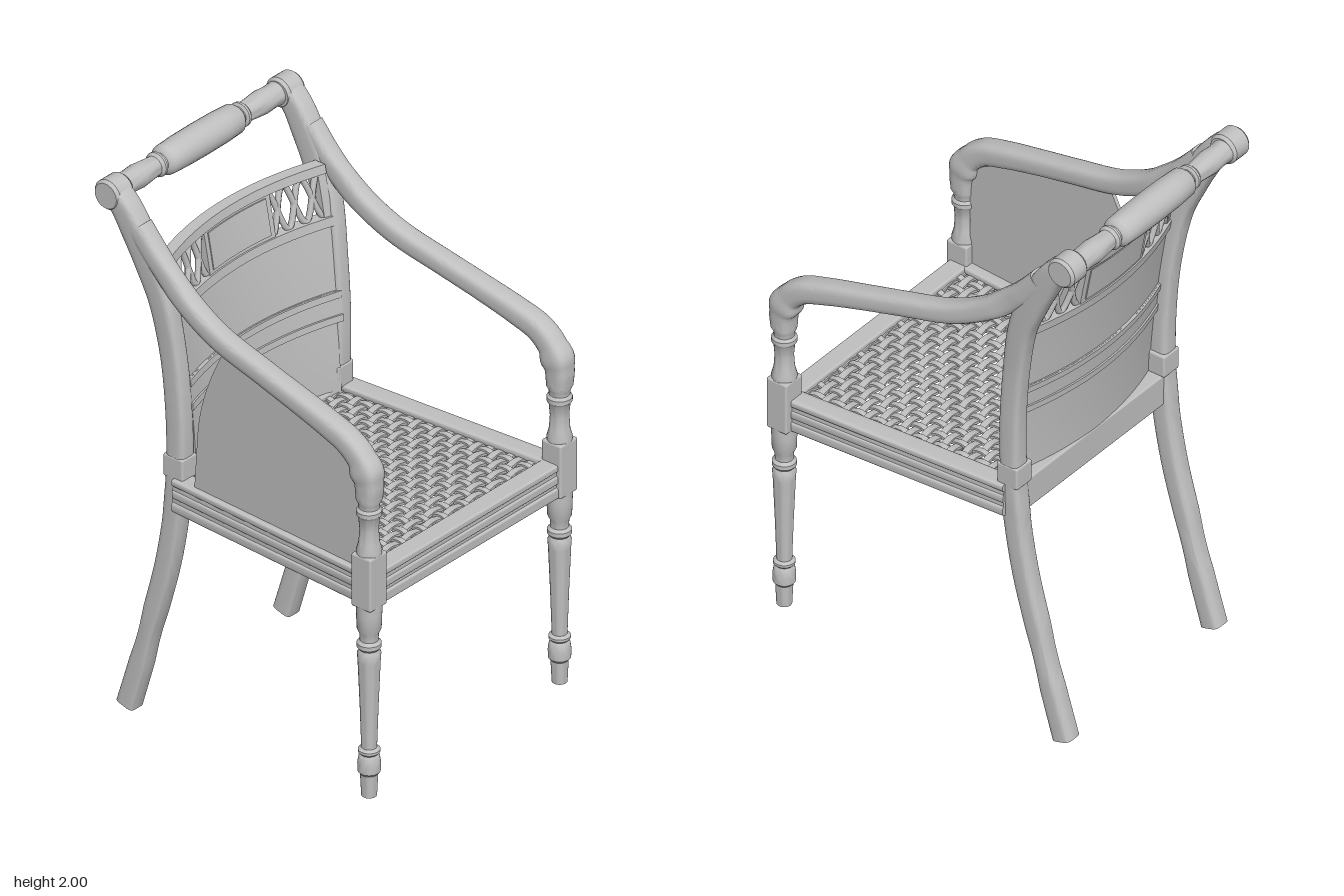
import * as THREE from 'three';
import { toCreasedNormals } from 'three/addons/utils/BufferGeometryUtils.js';
import { RoundedBoxGeometry } from 'three/addons/geometries/RoundedBoxGeometry.js';

const greyPaint = new THREE.MeshStandardMaterial({ color: 0xc0c0c0, side: THREE.DoubleSide });
greyPaint.name = 'grey paint';

function add(parent, name, geometry, x = 0, y = 0, z = 0) {
  const mesh = new THREE.Mesh(geometry, greyPaint);
  mesh.name = name;
  mesh.position.set(x, y, z);
  parent.add(mesh);
  return mesh;
}

const block = (w, h, d, r = 0.008) => new RoundedBoxGeometry(w, h, d, 2, r);

// Rounded rectangular bar along a path; each stop is [x, y, z, width, depth]
function bar(stops, steps = 48, power = 0.5) {
  const path = new THREE.CatmullRomCurve3(stops.map(s => new THREE.Vector3(s[0], s[1], s[2])));
  const size = new THREE.CatmullRomCurve3(stops.map(s => new THREE.Vector3(s[3], s[4], 0)));
  const sides = 20, pos = [], index = [];
  const side = new THREE.Vector3(1, 0, 0);
  const soft = v => Math.sign(v) * Math.abs(v) ** power;
  for (let i = 0; i <= steps; i++) {
    const t = i / steps, c = path.getPoint(t), s = size.getPoint(t);
    const n = path.getTangent(t).cross(side).normalize();
    for (let j = 0; j < sides; j++) {
      const a = (j + 0.5) / sides * Math.PI * 2;
      const p = c.clone().addScaledVector(side, soft(Math.cos(a)) * s.x / 2)
        .addScaledVector(n, soft(Math.sin(a)) * s.y / 2);
      pos.push(p.x, Math.max(0, p.y), p.z);
    }
  }
  const at = (i, j) => i * sides + j % sides;
  for (let i = 0; i < steps; i++) for (let j = 0; j < sides; j++) {
    index.push(at(i, j), at(i, j + 1), at(i + 1, j + 1), at(i, j), at(i + 1, j + 1), at(i + 1, j));
  }
  for (let j = 1; j < sides - 1; j++) {
    index.push(at(0, 0), at(0, j + 1), at(0, j), at(steps, 0), at(steps, j), at(steps, j + 1));
  }
  const g = new THREE.BufferGeometry();
  g.setAttribute('position', new THREE.Float32BufferAttribute(pos, 3));
  g.setIndex(index);
  return toCreasedNormals(g, 0.7);
}

const turned = profile => toCreasedNormals(
  new THREE.LatheGeometry(profile.map(p => new THREE.Vector2(p[0], p[1])), 24), 0.6);

// Bowed, reclining surface of the chair back
function backZ(x, y) {
  const u = Math.max(0, y - 0.95);
  return -0.328 - 0.055 * u - 0.095 * u * u + 0.06 * (x / 0.37) ** 2;
}

function bend(g) {
  const p = g.attributes.position;
  for (let i = 0; i < p.count; i++) p.setZ(i, p.getZ(i) + backZ(p.getX(i), p.getY(i)));
  g.computeVertexNormals();
  return g;
}

function bentBoard(x, y0, y1, thick) {
  const g = new THREE.BoxGeometry(2 * x, y1 - y0, thick, 24, 4, 1);
  return bend(g.translate(0, (y0 + y1) / 2, 0));
}

// Everything that repeats on both sides, built for +x
function buildSide() {
  const g = new THREE.Group();
  add(g, 'backPost', bar([
    [0.395, 0.01, -0.522, 0.07, 0.075], [0.395, 0.2, -0.465, 0.07, 0.073], [0.395, 0.4, -0.41, 0.07, 0.073],
    [0.395, 0.6, -0.357, 0.07, 0.075], [0.395, 0.8, -0.322, 0.07, 0.076], [0.396, 1.0, -0.307, 0.07, 0.076],
    [0.4, 1.2, -0.308, 0.068, 0.078], [0.406, 1.4, -0.325, 0.066, 0.08], [0.418, 1.6, -0.36, 0.07, 0.088],
    [0.424, 1.72, -0.405, 0.074, 0.1], [0.428, 1.82, -0.455, 0.077, 0.1], [0.431, 1.9, -0.503, 0.08, 0.09],
    [0.432, 1.947, -0.545, 0.082, 0.08]], 64, 0.45));
  add(g, 'armRest', bar([
    [0.48, 1.23, 0.574, 0.078, 0.078], [0.48, 1.3, 0.572, 0.084, 0.09], [0.48, 1.365, 0.545, 0.084, 0.09],
    [0.48, 1.413, 0.49, 0.083, 0.086], [0.476, 1.445, 0.4, 0.082, 0.082], [0.468, 1.485, 0.25, 0.08, 0.076],
    [0.459, 1.522, 0.1, 0.078, 0.075], [0.447, 1.575, -0.1, 0.076, 0.078], [0.436, 1.655, -0.25, 0.075, 0.08],
    [0.43, 1.755, -0.365, 0.075, 0.08], [0.43, 1.85, -0.45, 0.076, 0.08]], 64, 0.62));
  const scroll = add(g, 'postScroll', turned([[0, -0.043], [0.046, -0.043], [0.055, -0.032],
    [0.055, 0.032], [0.046, 0.043], [0, 0.043]]), 0.432, 1.942, -0.557);
  scroll.rotation.z = Math.PI / 2;
  add(g, 'postBase', block(0.082, 0.085, 0.085), 0.392, 0.99, -0.307);

  // Turned front leg, joint block and arm support
  add(g, 'frontLeg', turned([[0, 0.112], [0.026, 0.112], [0.03, 0.195], [0.038, 0.205], [0.039, 0.235],
    [0.035, 0.262], [0.03, 0.27], [0.037, 0.278], [0.037, 0.287], [0.026, 0.295], [0.031, 0.45], [0.038, 0.62],
    [0.04, 0.65], [0.033, 0.665], [0.041, 0.675], [0.041, 0.69], [0.031, 0.7], [0.032, 0.725], [0.041, 0.745],
    [0.043, 0.8], [0.044, 0.84]]), 0.48, 0, 0.573);
  add(g, 'legBlock', block(0.088, 0.2, 0.084), 0.48, 0.93, 0.573);
  add(g, 'armSupport', turned([[0.042, 1.02], [0.043, 1.04], [0.035, 1.07], [0.032, 1.12], [0.036, 1.165],
    [0.043, 1.175], [0.043, 1.19], [0.035, 1.2], [0.036, 1.215], [0.041, 1.225], [0.04, 1.25]]), 0.48, 0, 0.573);

  // Side rail: core, mouldings and the inner ledge carrying the cane
  const rail = (name, y, w, h, inset = 0) => add(g, name, bar([
    [0.465 - inset, y, 0.55, w, h], [0.41 - inset, y, -0.3, w, h]], 2, 0.35));
  rail('sideRail', 0.892, 0.06, 0.115);
  rail('railLowerMoulding', 0.85, 0.072, 0.04);
  rail('railMiddleMoulding', 0.898, 0.07, 0.034);
  rail('railTopMoulding', 0.942, 0.072, 0.026);
  rail('caneLedge', 0.878, 0.09, 0.085, 0.06);

  // Openwork of crossing strands in the upper back
  for (const s of [-1, 1]) {
    const pts = [];
    for (let i = 0; i <= 24; i++) {
      const u = i / 24, x = 0.165 + 0.205 * u, y = 1.648 + s * 0.076 * Math.cos(u * Math.PI * 3);
      pts.push(new THREE.Vector3(x, y, backZ(x, y)));
    }
    add(g, 'openworkStrand', new THREE.TubeGeometry(new THREE.CatmullRomCurve3(pts), 48, 0.011, 8));
  }
  add(g, 'backStile', bend(new THREE.BoxGeometry(0.028, 0.21, 0.026, 2, 4, 1).translate(0.374, 1.647, 0)));
  return g;
}

export function createModel() {
  const chair = new THREE.Group();
  chair.name = 'armchair';
  const left = buildSide(), right = buildSide();
  left.name = 'leftSide';
  right.name = 'rightSide';
  right.scale.x = -1;
  chair.add(left, right);

  // Turned crest rail with a thick middle grip
  const half = [[0.058, 0], [0.057, 0.1], [0.053, 0.175], [0.044, 0.187], [0.034, 0.192], [0.034, 0.2],
    [0.044, 0.206], [0.044, 0.215], [0.035, 0.225], [0.038, 0.26], [0.043, 0.31], [0.04, 0.36], [0.043, 0.41]];
  const crest = add(chair, 'crestRail', turned([...half.slice(1).reverse().map(p => [p[0], -p[1]]), ...half]),
    0, 1.942, -0.562);
  crest.rotation.z = Math.PI / 2;

  // Chair back boards and rails
  add(chair, 'backTopRail', bentBoard(0.385, 1.725, 1.757, 0.042));
  add(chair, 'backCentreTablet', bentBoard(0.165, 1.56, 1.73, 0.03));
  add(chair, 'backTabletFace', bentBoard(0.145, 1.585, 1.715, 0.038));
  add(chair, 'backUpperRail', bentBoard(0.385, 1.54, 1.573, 0.042));
  add(chair, 'backMiddlePanel', bentBoard(0.38, 1.29, 1.545, 0.02));
  add(chair, 'backMiddleRail', bentBoard(0.38, 1.2, 1.31, 0.03));
  for (const y of [1.2, 1.285]) add(chair, 'backRailBead', bentBoard(0.38, y, y + 0.024, 0.044));
  add(chair, 'backLowerPanel', bentBoard(0.365, 0.93, 1.21, 0.018));

  // Front and back seat rails
  add(chair, 'frontRail', block(0.89, 0.115, 0.056), 0, 0.892, 0.568);
  add(chair, 'frontLowerMoulding', block(0.89, 0.04, 0.07), 0, 0.85, 0.57);
  add(chair, 'frontMiddleMoulding', block(0.89, 0.032, 0.066), 0, 0.898, 0.57);
  add(chair, 'frontTopMoulding', block(0.89, 0.026, 0.07), 0, 0.942, 0.568);
  add(chair, 'frontLedge', block(0.8, 0.085, 0.09), 0, 0.878, 0.5);
  add(chair, 'backRail', block(0.75, 0.12, 0.07), 0, 0.892, -0.305);
  add(chair, 'backLedge', block(0.72, 0.085, 0.09), 0, 0.878, -0.24);

  // Woven cane seat: wavy flat strands crossing over and under
  const seat = new THREE.Group();
  seat.name = 'caneSeat';
  chair.add(seat);
  const rows = 20, cols = 17, z0 = -0.275, z1 = 0.54;
  const halfWidth = z => 0.402 + 0.062 * (z - z0);
  const dz = (z1 - z0) / rows;
  for (let r = 0; r <= rows; r++) {
    const z = z0 + r * dz, g = new THREE.BoxGeometry(2 * halfWidth(z), 0.01, 0.025, cols * 4, 1, 1);
    const p = g.attributes.position;
    for (let i = 0; i < p.count; i++) {
      const u = (p.getX(i) / halfWidth(z) + 1) / 2 * cols;
      p.setY(i, p.getY(i) + 0.004 * Math.cos(Math.PI * (u + r)));
    }
    g.computeVertexNormals();
    add(seat, 'crossStrand', g, 0, 0.932, z);
  }
  for (let c = 0; c <= cols; c++) {
    const k = c / cols * 2 - 1;
    const g = new THREE.BoxGeometry(0.022, 0.01, z1 - z0, 1, 1, rows * 4).translate(0, 0, (z0 + z1) / 2);
    const p = g.attributes.position;
    for (let i = 0; i < p.count; i++) {
      const z = p.getZ(i), u = (z - z0) / dz;
      p.setX(i, p.getX(i) + k * halfWidth(z));
      p.setY(i, p.getY(i) - 0.004 * Math.cos(Math.PI * (u + c)));
    }
    g.computeVertexNormals();
    add(seat, 'lengthStrand', g, 0, 0.932, 0);
  }

  // Thin infill panel under the right arm
  const s = new THREE.Shape();
  s.moveTo(0.54, 0.93);
  s.lineTo(0.54, 1.34);
  s.quadraticCurveTo(0.49, 1.42, 0.4, 1.44);
  s.lineTo(0.1, 1.515);
  s.lineTo(-0.06, 1.555);
  s.quadraticCurveTo(-0.19, 1.33, -0.2, 1.15);
  s.lineTo(-0.215, 0.93);
  const panel = new THREE.ExtrudeGeometry(s, { depth: 0.014, bevelEnabled: false, curveSegments: 12 });
  panel.rotateY(-Math.PI / 2);
  const p = panel.attributes.position;
  for (let i = 0; i < p.count; i++) p.setX(i, p.getX(i) - 0.432 - 0.062 * p.getZ(i));
  panel.computeVertexNormals();
  add(chair, 'armInfillPanel', panel);
  return chair;
}
